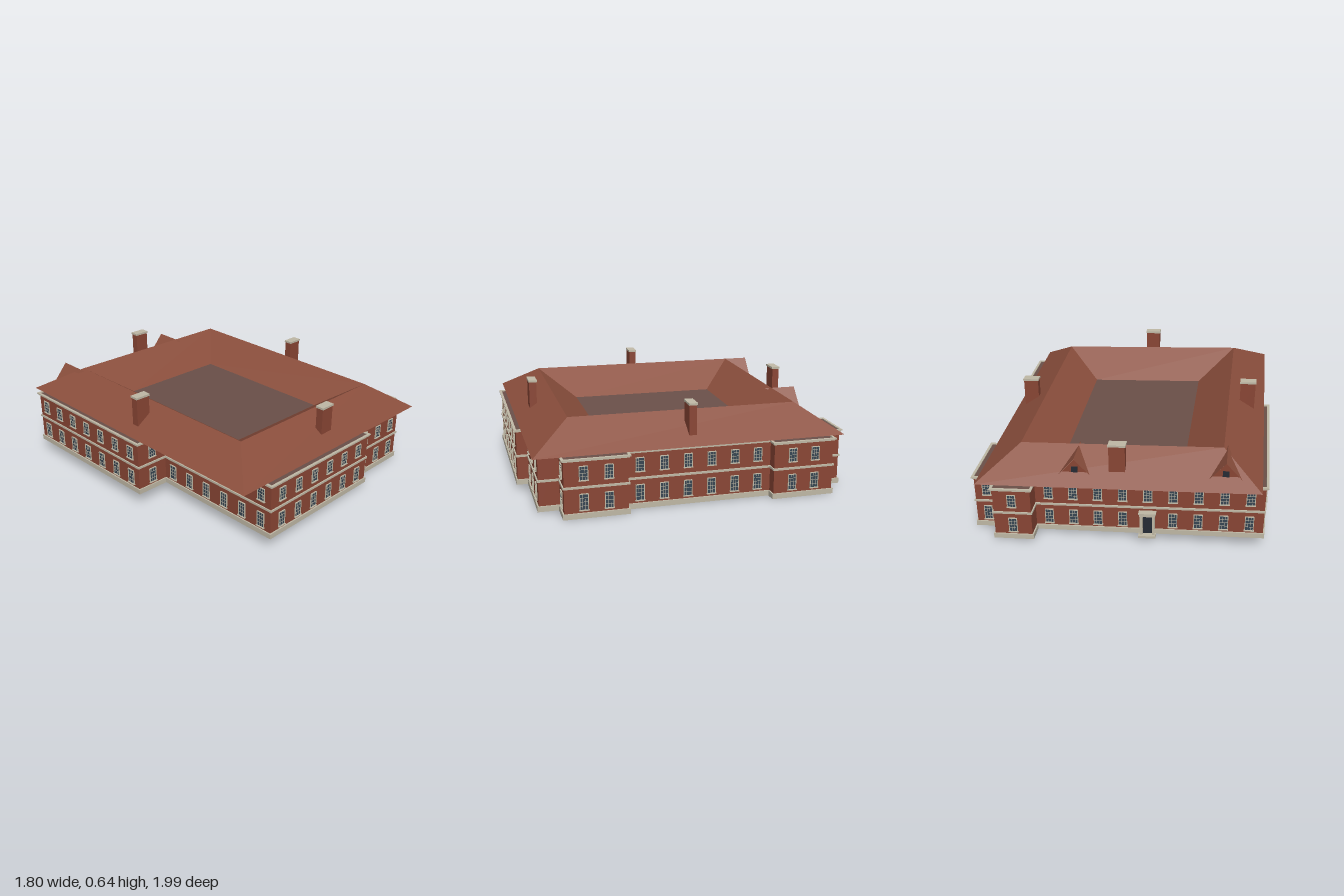
import * as THREE from 'three';
import { mergeGeometries } from 'three/addons/utils/BufferGeometryUtils.js';

const mat = (color) => new THREE.MeshStandardMaterial({ color, side: THREE.DoubleSide, flatShading: true });
const BRICK = mat(0x8a4635), ROOF = mat(0x8a4e3c), TRIM = mat(0xc0b9a6);
const GLASS = mat(0x364552), FLAT = mat(0x6b5049), DARK = mat(0x252b35);

// footprint corners (x, z), with the number of window bays on the wall that follows each
const PLAN = [
  [-0.605, 0.92, 6], [0.26, 0.92, 0], [0.26, 0.855, 3], [0.68, 0.855, 0], [0.68, 0.74, 1],
  [0.818, 0.74, 2], [0.818, 0.39, 0], [0.76, 0.39, 6], [0.76, -0.45, 0], [0.818, -0.45, 2],
  [0.818, -0.81, 1], [0.68, -0.81, 0], [0.68, -0.92, 1], [0.465, -0.92, 0], [0.465, -0.82, 9],
  [-0.81, -0.82, 7], [-0.81, 0.11, 1], [-0.605, 0.11, 6],
];
const DOOR_WALL = 14;

// the whole house is turned on its plot and slopes down towards +x
const PLACE = new THREE.Matrix4().makeTranslation(0.003, 0.045, 0)
  .multiply(new THREE.Matrix4().makeRotationY(0.1))
  .multiply(new THREE.Matrix4().set(1, 0, 0, 0, -0.054, 1, 0, 0, 0, 0, 1, 0, 0, 0, 0, 1));

function part(group, name, material, geos) {
  const plain = geos.map((g) => {
    const n = g.index ? g.toNonIndexed() : g;
    n.deleteAttribute('uv');
    return n;
  });
  const mesh = new THREE.Mesh(mergeGeometries(plain).applyMatrix4(PLACE), material);
  mesh.name = name;
  group.add(mesh);
}

const box = (w, h, d, x, y, z) => new THREE.BoxGeometry(w, h, d).translate(x, y, z);

// surface made of triangles or quads given as corner lists
function faces(list) {
  const pos = [];
  for (const f of list) for (let i = 2; i < f.length; i++) pos.push(...f[0], ...f[i - 1], ...f[i]);
  const g = new THREE.BufferGeometry();
  g.setAttribute('position', new THREE.Float32BufferAttribute(pos, 3));
  g.computeVertexNormals();
  return g;
}

// wall runs: length, placement matrix (local x along the wall, local z outwards)
const walls = PLAN.map(([x, z, count], i) => {
  const [x2, z2] = PLAN[(i + 1) % PLAN.length];
  const m = new THREE.Matrix4().makeRotationY(Math.atan2(z - z2, x2 - x)).setPosition((x + x2) / 2, 0, (z + z2) / 2);
  const len = Math.hypot(x2 - x, z2 - z);
  return { len, m, count, n: [-(z2 - z) / len, (x2 - x) / len] };
});

// footprint pushed outwards by d, as shape points
function outline(d) {
  return PLAN.map(([x, z], i) => {
    const a = walls[i].n, b = walls[(i + walls.length - 1) % walls.length].n;
    return new THREE.Vector2(x + d * (a[0] + b[0]), -(z + d * (a[1] + b[1])));
  });
}

// stone band running round the house
function band(y, h, d) {
  const s = new THREE.Shape(outline(d));
  s.holes.push(new THREE.Path(outline(-0.002)));
  return new THREE.ExtrudeGeometry(s, { depth: h, bevelEnabled: false }).rotateX(-Math.PI / 2).translate(0, y, 0);
}

export function createModel() {
  const house = new THREE.Group();
  house.name = 'house';

  // walls, open underneath
  part(house, 'walls', BRICK, walls.map((w) =>
    new THREE.PlaneGeometry(w.len, 0.328).translate(0, 0.164, 0).applyMatrix4(w.m)));
  part(house, 'plinth', TRIM, [band(0, 0.03, 0.008)]);
  part(house, 'beltCourse', TRIM, [band(0.166, 0.012, 0.007)]);
  part(house, 'cornice', TRIM, [band(0.316, 0.008, 0.007), band(0.324, 0.007, 0.013)]);
  part(house, 'ceiling', FLAT, [
    new THREE.ShapeGeometry(new THREE.Shape(outline(0))).rotateX(-Math.PI / 2).translate(0, 0.326, 0)]);

  // sash windows on both storeys
  const glass = [], frames = [];
  walls.forEach((w, i) => {
    const step = Math.min(w.len / Math.max(w.count, 1), i === DOOR_WALL ? 0.14 : 0.137);
    for (let k = 0; k < w.count; k++) {
      const u = (k - (w.count - 1) / 2) * step;
      for (const [y, h] of [[0.047, 0.088], [0.212, 0.076]]) {
        if (i === DOOR_WALL && k === 4 && y < 0.1) continue;
        const W = 0.046, c = y + h / 2;
        glass.push(box(W, h, 0.003, u, c, 0.001).applyMatrix4(w.m));
        const bars = [box(W + 0.01, 0.005, 0.012, u, y - 0.002, 0.004), box(W, 0.004, 0.006, u, y + h, 0.003)];
        for (const s of [-1, 1]) bars.push(box(0.004, h, 0.006, u + s * W / 2, c, 0.003));
        for (const s of [-1, 1]) bars.push(box(0.0018, h, 0.004, u + s * W / 6, c, 0.002));
        for (const f of [0.25, 0.5, 0.75]) bars.push(box(W, 0.002, 0.004, u, y + f * h, 0.002));
        bars.forEach((b) => frames.push(b.applyMatrix4(w.m)));
      }
    }
  });
  part(house, 'windowPanes', GLASS, glass);
  part(house, 'windowFrames', TRIM, frames);

  // back door with pilasters, lintel and step
  const dm = walls[DOOR_WALL].m;
  part(house, 'door', DARK, [box(0.05, 0.115, 0.008, 0, 0.06, 0.006).applyMatrix4(dm)]);
  part(house, 'doorSurround', TRIM, [
    box(0.014, 0.13, 0.024, -0.034, 0.065, 0.012), box(0.014, 0.13, 0.024, 0.034, 0.065, 0.012),
    box(0.09, 0.018, 0.03, 0, 0.135, 0.015), box(0.098, 0.006, 0.036, 0, 0.147, 0.018),
    box(0.098, 0.014, 0.04, 0, -0.004, 0.02),
  ].map((g) => g.applyMatrix4(dm)));

  // hipped roof: eaves, ridge and the sunken inner edge
  const ring = (x, y, z) => [[-x, y, z], [x, y, z], [x, y, -z], [-x, y, -z]];
  const rings = [ring(0.789, 0.333, 0.895), ring(0.569, 0.48, 0.67), ring(0.35, 0.326, 0.455)];
  const slopes = [];
  for (let r = 0; r < 2; r++) for (let i = 0; i < 4; i++) {
    const j = (i + 1) % 4;
    slopes.push([rings[r][i], rings[r][j], rings[r + 1][j], rings[r + 1][i]]);
  }
  part(house, 'roof', ROOF, [faces(slopes)]);

  // gabled dormers on the back slope
  for (const [x, name] of [[-0.59, 'rightDormer'], [0.234, 'leftDormer']]) {
    const peak = [x, 0.475, -0.83], end = [x, 0.475, -0.635];
    const a = [x - 0.088, 0.375, -0.83], b = [x + 0.088, 0.375, -0.83];
    part(house, name + 'Roof', ROOF, [faces([[a, end, peak], [peak, end, b]])]);
    const z = -0.815;
    part(house, name + 'Gable', BRICK, [faces([[[x + 0.078, 0.378, z], [x - 0.078, 0.378, z], [x, 0.465, z]]])]);
    part(house, name + 'Window', DARK, [box(0.035, 0.035, 0.004, x, 0.403, z - 0.002)]);
  }

  // chimneys with stone caps
  const stacks = [[-0.679, 0], [0.679, 0], [0, -0.787], [0, 0.787]];
  part(house, 'chimneys', BRICK, stacks.map(([x, z]) => box(0.09, 0.2, 0.043, x, 0.446, z)));
  part(house, 'chimneyCaps', TRIM, stacks.map(([x, z]) => box(0.098, 0.012, 0.051, x, 0.552, z)));
  return house;
}
